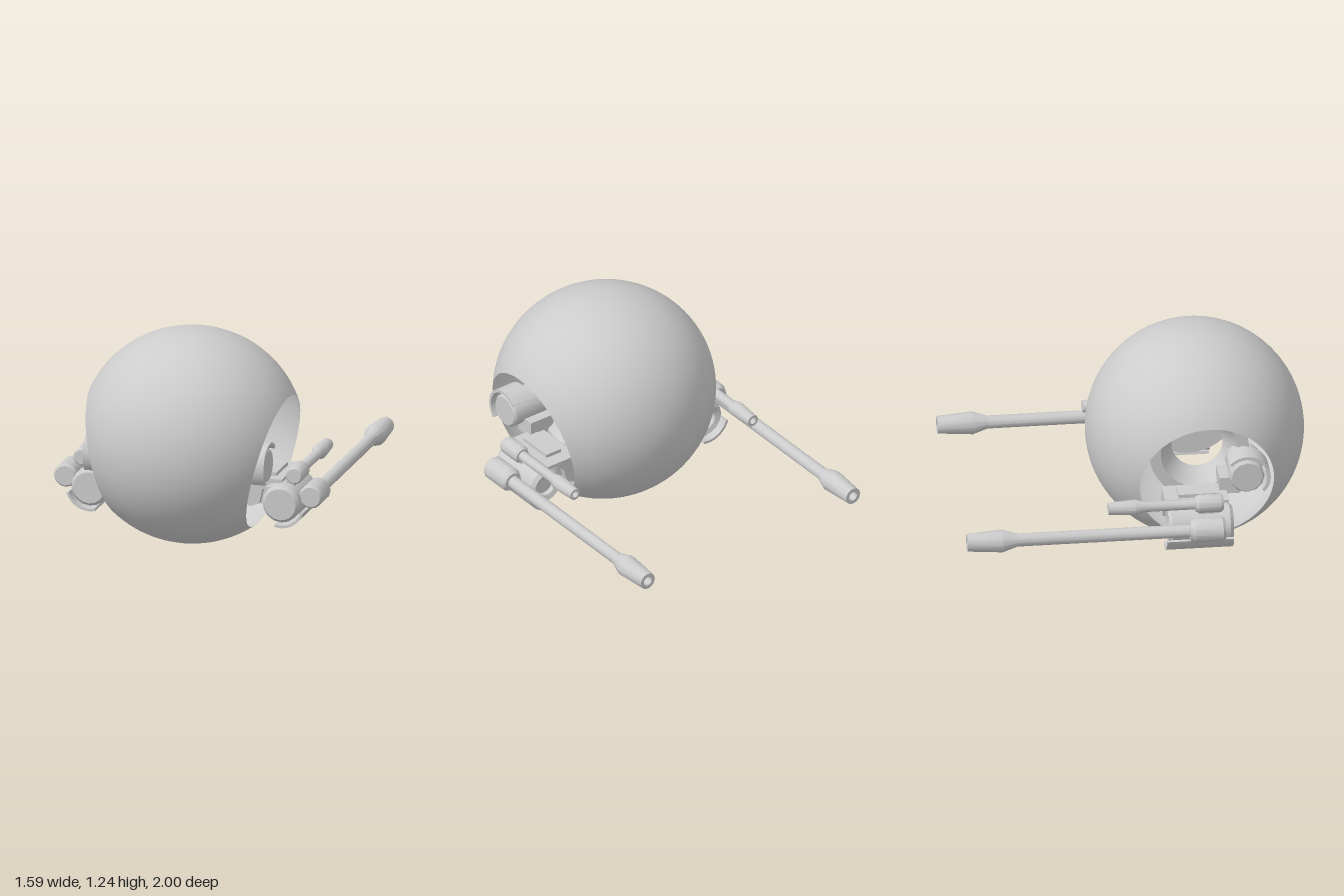
import * as THREE from 'three';
import { toCreasedNormals } from 'three/addons/utils/BufferGeometryUtils.js';
import { ParametricGeometry } from 'three/addons/geometries/ParametricGeometry.js';

const grey = new THREE.MeshStandardMaterial({ color: 0xcccccc, side: THREE.DoubleSide });

function part(name, geometry, x = 0, y = 0, z = 0) {
  const mesh = new THREE.Mesh(geometry, grey);
  mesh.name = name;
  mesh.position.set(x, y, z);
  return mesh;
}

// Turned solid around the z axis, from [radius, z] pairs
function turned(profile, sides = 12) {
  const points = profile.map(([r, z]) => new THREE.Vector2(r, z));
  const g = new THREE.LatheGeometry(points, sides).rotateX(Math.PI / 2);
  return toCreasedNormals(g, 0.6);
}

// Curved plate: an arc of a thin tube, extruded along z
function arcPlate(inner, outer, fromDeg, toDeg, depth) {
  const a = THREE.MathUtils.degToRad(fromDeg), b = THREE.MathUtils.degToRad(toDeg);
  const shape = new THREE.Shape();
  shape.absarc(0, 0, outer, a, b, false);
  shape.absarc(0, 0, inner, b, a, true);
  shape.closePath();
  const g = new THREE.ExtrudeGeometry(shape, { depth, bevelEnabled: false, curveSegments: 8 });
  return toCreasedNormals(g, 0.6);
}

// Ball shell, open on both sides where a sideways cylinder cuts through it
function shellGeometry() {
  const R = 0.62, holeR = 0.383, holeY = -0.112, holeZ = 0.015;
  return new ParametricGeometry((u, v, target) => {
    const a = v * Math.PI * 2;
    const y = holeY + holeR * Math.sin(a), z = holeZ + holeR * Math.cos(a);
    const lat = Math.acos(Math.hypot(y, z) / R) * (2 * u - 1);
    const lon = Math.atan2(y, z);
    target.set(
      1.03 * R * Math.sin(lat),
      R * Math.cos(lat) * Math.sin(lon),
      R * Math.cos(lat) * Math.cos(lon)
    );
  }, 48, 72);
}

function createSide() {
  const side = new THREE.Group();

  // Port ring with a funnel-shaped opening
  const ring = turned([
    [0.145, 0], [0.285, 0], [0.285, 0.12], [0.22, 0.12], [0.145, 0]
  ], 32).rotateY(Math.PI / 2);
  side.add(part('portRing', ring, 0.21, 0.63, 0.37));

  // Sensor drum, its curved guard and the arm to the port ring
  const drum = turned([[0, 0], [0.1, 0], [0.1, 0.23], [0.088, 0.245], [0, 0.245]])
    .rotateY(Math.PI / 2);
  side.add(part('sensorDrum', drum, 0.28, 0.555, 0.62));
  const guard = arcPlate(0.115, 0.133, 42, 223, 0.13).rotateY(Math.PI / 2);
  side.add(part('sensorGuard', guard, 0.405, 0.555, 0.62));
  side.add(part('sensorArm', new THREE.BoxGeometry(0.16, 0.1, 0.12), 0.37, 0.47, 0.53));

  // Gun mount: bracket reaching out over the power drum
  const bracket = new THREE.Shape([
    [0.57, 0.442], [0.57, 0.425], [0.5, 0.415], [0.455, 0.375], [0.435, 0.29],
    [0.38, 0.27], [0.34, 0.3], [0.36, 0.442]
  ].map(([x, y]) => new THREE.Vector2(x, y)));
  side.add(part('gunBracket',
    new THREE.ExtrudeGeometry(bracket, { depth: 0.36, bevelEnabled: false }), 0, 0, 0.15));
  side.add(part('bracketTop', new THREE.BoxGeometry(0.1, 0.03, 0.22), 0.47, 0.448, 0.34));

  // Power drum with a recessed rear, and the plate below it
  side.add(part('powerDrum', turned([
    [0, 0.2], [0.06, 0.2], [0.06, 0.17], [0.09, 0.16], [0.11, 0.18],
    [0.11, 0.51], [0.092, 0.53], [0, 0.53]
  ], 16), 0.565, 0.3, 0));
  side.add(part('lowerPlate', arcPlate(0.125, 0.14, -105, -17, 0.38), 0.565, 0.3, 0.145));
  side.add(part('drumSaddle', new THREE.BoxGeometry(0.12, 0.1, 0.28), 0.43, 0.33, 0.33));

  // Long gun: hollow muzzle, barrel and breech
  side.add(part('longGun', turned([
    [0, -0.93], [0.028, -0.93], [0.028, -1], [0.05, -1], [0.065, -0.8], [0.037, -0.715],
    [0.037, 0.27], [0.055, 0.27], [0.07, 0.3], [0.07, 0.455], [0.058, 0.47], [0, 0.47]
  ]), 0.725, 0.34, 0));

  // Short gun above it
  side.add(part('shortGun', turned([
    [0, -0.14], [0.02, -0.14], [0.02, -0.185], [0.035, -0.185], [0.045, -0.03], [0.03, 0.02],
    [0.03, 0.31], [0.042, 0.31], [0.052, 0.33], [0.052, 0.455], [0.042, 0.47], [0, 0.47]
  ]), 0.628, 0.457, 0));

  // Links between the power drum and the guns
  side.add(part('longGunLink', new THREE.BoxGeometry(0.08, 0.05, 0.14), 0.66, 0.33, 0.38));
  side.add(part('shortGunLink', new THREE.BoxGeometry(0.05, 0.07, 0.12), 0.6, 0.4, 0.39));
  return side;
}

export function createModel() {
  const model = new THREE.Group();
  model.name = 'ballCraft';
  model.add(part('ballShell', shellGeometry(), 0, 0.625, 0.38));

  const left = createSide();
  left.name = 'leftSide';
  const right = left.clone();
  right.name = 'rightSide';
  right.scale.x = -1;
  model.add(left, right);
  return model;
}
